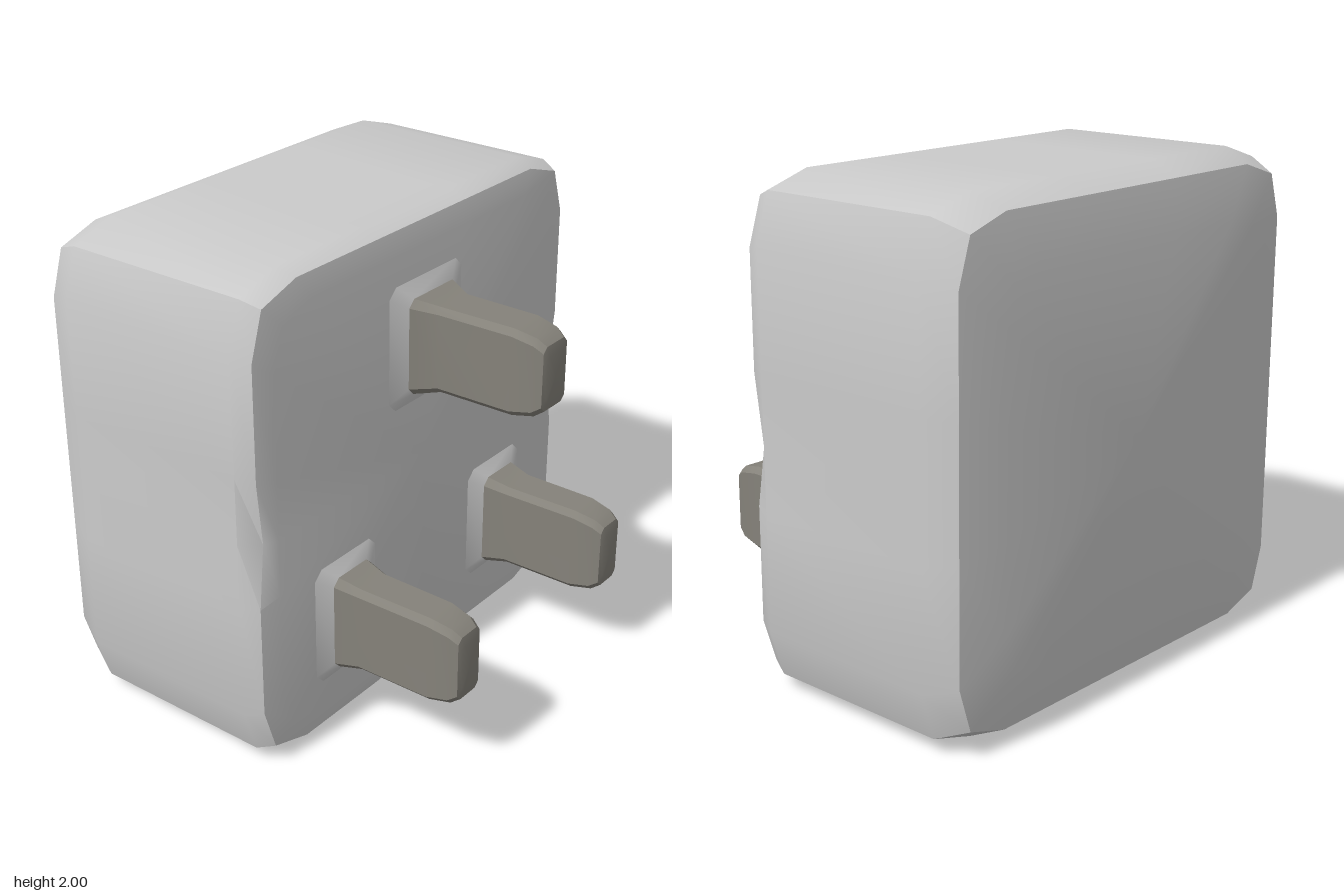
import * as THREE from 'three';
import { toCreasedNormals } from 'three/addons/utils/BufferGeometryUtils.js';

// Skin a list of closed rings (ordered along +x, each turning from +y to +z).
function loft(rings, capStart, capEnd) {
  const pos = [];
  const tri = (...pts) => pts.forEach((p) => pos.push(...p));
  const n = rings[0].length;
  for (let r = 0; r < rings.length - 1; r++) {
    const a = rings[r], b = rings[r + 1];
    for (let i = 0; i < n; i++) {
      const j = (i + 1) % n;
      tri(a[i], a[j], b[j]);
      tri(a[i], b[j], b[i]);
    }
  }
  const cap = (ring, flip) => {
    const c = [0, 1, 2].map((k) => ring.reduce((s, p) => s + p[k], 0) / n);
    for (let i = 0; i < n; i++) {
      const j = (i + 1) % n;
      if (flip) tri(c, ring[j], ring[i]);
      else tri(c, ring[i], ring[j]);
    }
  };
  if (capStart) cap(rings[0], true);
  if (capEnd) cap(rings[rings.length - 1], false);
  const geo = new THREE.BufferGeometry();
  geo.setAttribute('position', new THREE.Float32BufferAttribute(pos, 3));
  return toCreasedNormals(geo, 0.6);
}

// Square ring with softened corners; sides may be notched at their middles.
function bodyRing(x, h, notch = 0) {
  const ring = [];
  for (let s = 0; s < 4; s++) {
    const dent = s === 0 ? 0 : notch; // the top edge stays straight
    const side = [[1, -0.75], [1, -0.27], [1 - dent, 0], [1, 0.27], [1, 0.75], [0.94, 0.94]];
    for (let [y, z] of side) {
      const dx = z === 0 ? dent * 0.2 : 0;
      for (let k = 0; k < s; k++) [y, z] = [-z, y];
      ring.push([x - dx, 1 + y * h, z * h]);
    }
  }
  return ring;
}

// Rectangle with clipped corners, for the pins and their collars.
function pinRing(x, hy, hz, cut) {
  const q = [[hy, hz - cut], [hy - cut, hz], [-hy + cut, hz], [-hy, hz - cut]];
  return [...q, ...q.map(([y, z]) => [-y, -z])].map(([y, z]) => [x, y, z]);
}

export function createModel() {
  const model = new THREE.Group();
  const shell = new THREE.MeshStandardMaterial({ color: 0xcccccc });
  const metal = new THREE.MeshStandardMaterial({ color: 0x85827a });
  const add = (parent, name, geo, mat) => {
    const mesh = new THREE.Mesh(geo, mat);
    mesh.name = name;
    parent.add(mesh);
  };

  // Soft-edged housing
  add(model, 'housing', loft([
    bodyRing(-0.83, 0.74),
    bodyRing(-0.79, 0.945),
    bodyRing(-0.66, 1),
    bodyRing(0.14, 1),
    bodyRing(0.215, 0.97, 0.035),
    bodyRing(0.235, 0.88),
  ], true, true), shell);

  // Pins: one wide pin on top, two narrower ones below
  const pins = [
    { name: 'topPin', y: 1.505, z: 0, hy: 0.175, hz: 0.1, base: 0.152, lip: 0.235 },
    { name: 'leftPin', y: 0.505, z: 0.5, hy: 0.182, hz: 0.09, base: 0.115, lip: 0.19 },
    { name: 'rightPin', y: 0.505, z: -0.5, hy: 0.182, hz: 0.09, base: 0.115, lip: 0.19 },
  ];
  for (const { name, y, z, hy, hz, base, lip } of pins) {
    const pin = new THREE.Group();
    pin.name = name;
    pin.position.set(0, y, z);

    // Raised collar blending into the housing face
    add(pin, 'collar', loft([
      pinRing(0.232, 0.26, lip, 0.04),
      pinRing(0.27, hy + 0.022, base, 0.03),
    ], false, false), shell);

    // Flared shank with a rounded tip
    add(pin, 'blade', loft([
      pinRing(0.27, hy + 0.022, base, 0.03),
      pinRing(0.37, hy, hz + 0.004, 0.024),
      pinRing(0.69, hy, hz, 0.024),
      pinRing(0.78, hy - 0.018, hz - 0.01, 0.024),
      pinRing(0.818, hy - 0.045, hz - 0.022, 0.022),
      pinRing(0.826, hy - 0.085, hz - 0.04, 0.015),
    ], false, true), metal);
    model.add(pin);
  }
  return model;
}
